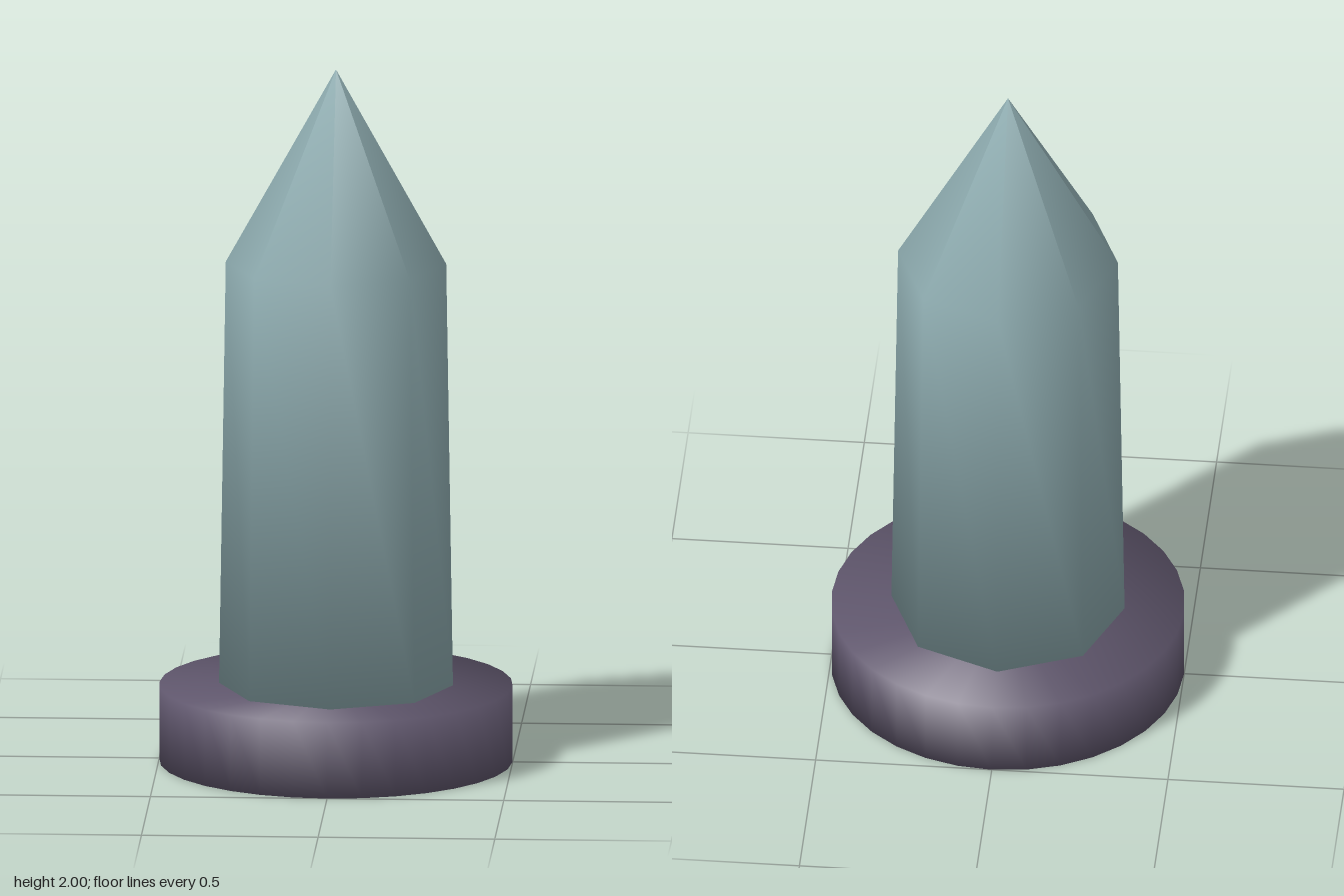
import * as THREE from 'three';

const mat = (name, color) => new THREE.MeshStandardMaterial({ name, color });

// Turned solid from profile rows [radius, y, normalOut, normalUp]; softly shaded across its edges.
function turned(name, rows, segments, material) {
  const points = rows.map(([r, y]) => new THREE.Vector2(r, y));
  const geometry = new THREE.LatheGeometry(points, segments);
  const normal = geometry.attributes.normal;
  for (let i = 0; i <= segments; i++) {
    const phi = (i / segments) * Math.PI * 2;
    rows.forEach(([, , out, up], j) => {
      const n = new THREE.Vector3(out * Math.sin(phi), up, out * Math.cos(phi)).normalize();
      normal.setXYZ(i * rows.length + j, n.x, n.y, n.z);
    });
  }
  const mesh = new THREE.Mesh(geometry, material);
  mesh.name = name;
  return mesh;
}

export function createModel() {
  const group = new THREE.Group();
  group.name = 'crystalOnBase';
  const purple = mat('dusky purple', 0x5f566c);
  const teal = mat('pale teal', 0x8fadb1);

  // Round base
  group.add(turned('base', [
    [0, 0, 0, -1],
    [0.5, 0, 1, -1],
    [0.5, 0.22, 1, 1],
    [0, 0.22, 0, 1],
  ], 32, purple));

  // Eight-sided tapering shaft with a pointed tip
  group.add(turned('crystal', [
    [0, 0.22, 0, -1],
    [0.331, 0.22, 1, -0.8],
    [0.312, 1.44, 0.94, 0.25],
    [0, 2, 0.875, 0.485],
  ], 8, teal));

  return group;
}
